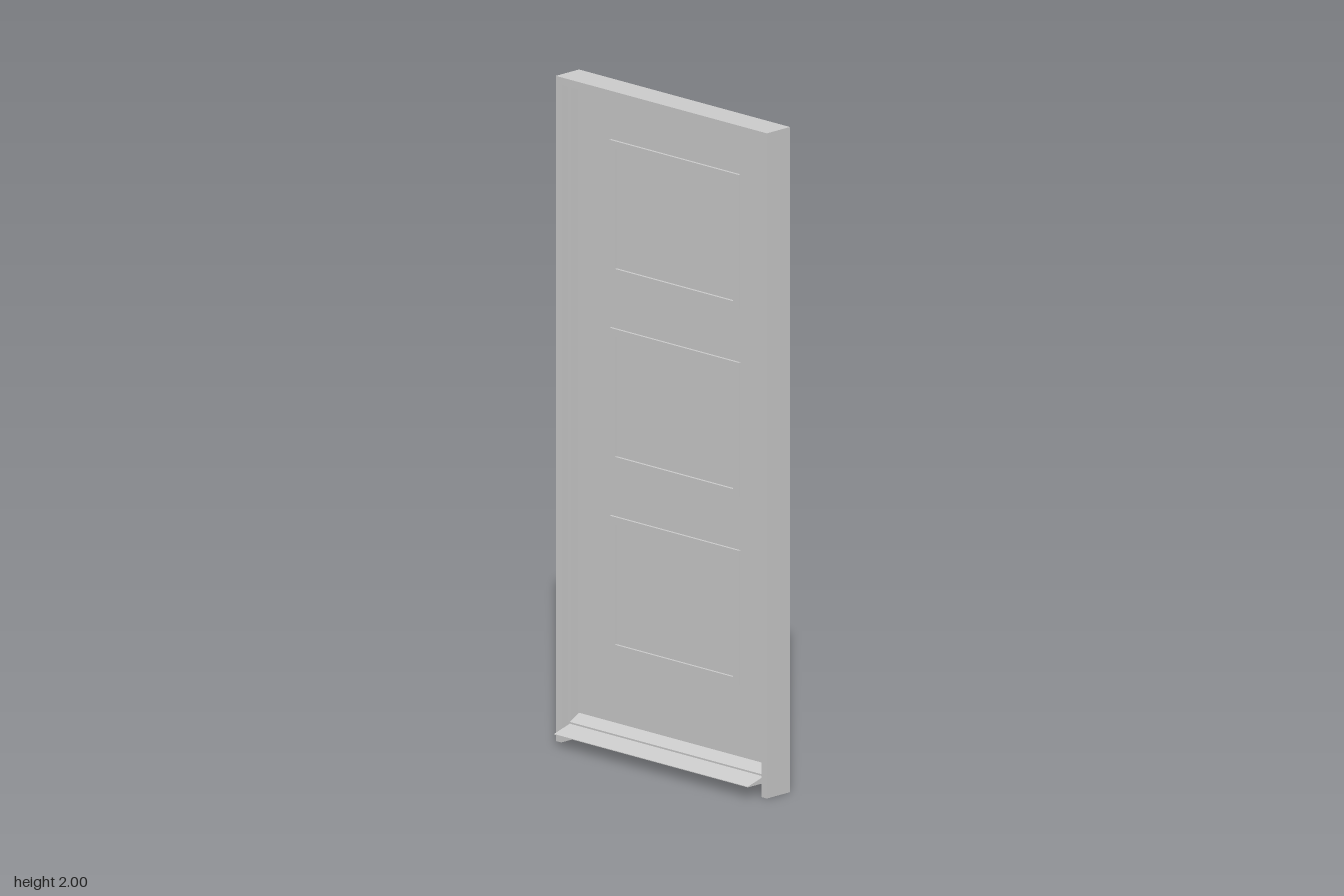
import * as THREE from 'three';

const material = new THREE.MeshStandardMaterial({ color: 0xcccccc });

function add(parent, name, geometry) {
  const mesh = new THREE.Mesh(geometry, material);
  mesh.name = name;
  parent.add(mesh);
  return mesh;
}

// Box given by its lower and upper limits on each axis
function box(parent, name, [x0, x1], [y0, y1], [z0, z1]) {
  const mesh = add(parent, name, new THREE.BoxGeometry(x1 - x0, y1 - y0, z1 - z0));
  mesh.position.set((x0 + x1) / 2, (y0 + y1) / 2, (z0 + z1) / 2);
  return mesh;
}

const polygon = (points) => new THREE.Shape(points.map(([x, y]) => new THREE.Vector2(x, y)));

function extrude(shape, depth) {
  return new THREE.ExtrudeGeometry(shape, { depth, bevelEnabled: false });
}

// Inverted U surround: two legs and a head
function surround(outer, top, inner, head, bottom, depth) {
  return extrude(polygon([
    [-outer, bottom], [-inner, bottom], [-inner, head], [inner, head],
    [inner, bottom], [outer, bottom], [outer, top], [-outer, top],
  ]), depth);
}

export function createModel() {
  const model = new THREE.Group();
  model.name = 'panelDoor';

  const back = -0.065, front = 0.03, leafFront = -0.03;

  // Outer frame and the narrow stop that the leaf closes against
  add(model, 'frame', surround(0.43, 2, 0.408, 1.978, 0, front - back)).position.z = back;
  add(model, 'doorStop', surround(0.41, 1.98, 0.4, 1.97, 0.055, 0.03)).position.z = leafFront;

  // Door leaf, flush with the back of the frame
  box(model, 'leaf', [-0.406, 0.406], [0.055, 1.974], [back, leafFront]);

  // Raised rectangular mouldings on both faces
  const w = 0.263, h = 0.203, border = 0.022, relief = 0.008;
  const rectangle = (x, y) => [[-x, -y], [x, -y], [x, y], [-x, y]];
  const shape = polygon(rectangle(w, h));
  shape.holes.push(polygon(rectangle(w - border, h - border)));
  const moulding = extrude(shape, relief);
  for (const y of [0.498, 1.063, 1.628]) {
    add(model, 'frontMoulding', moulding).position.set(0, y, leafFront);
    add(model, 'backMoulding', moulding).position.set(0, y, back - relief);
  }

  // Sloping sill with a stepped threshold, extruded along x
  const profile = polygon([
    [back, 0.035], [0.073, 0.035], [0.073, 0.037], [0.008, 0.055],
    [0.008, 0.06], [leafFront, 0.08], [back, 0.08],
  ].map(([z, y]) => [-z, y]).reverse());
  const sill = extrude(profile, 0.79);
  sill.rotateY(Math.PI / 2).translate(-0.395, 0, 0);
  add(model, 'sill', sill);

  return model;
}
